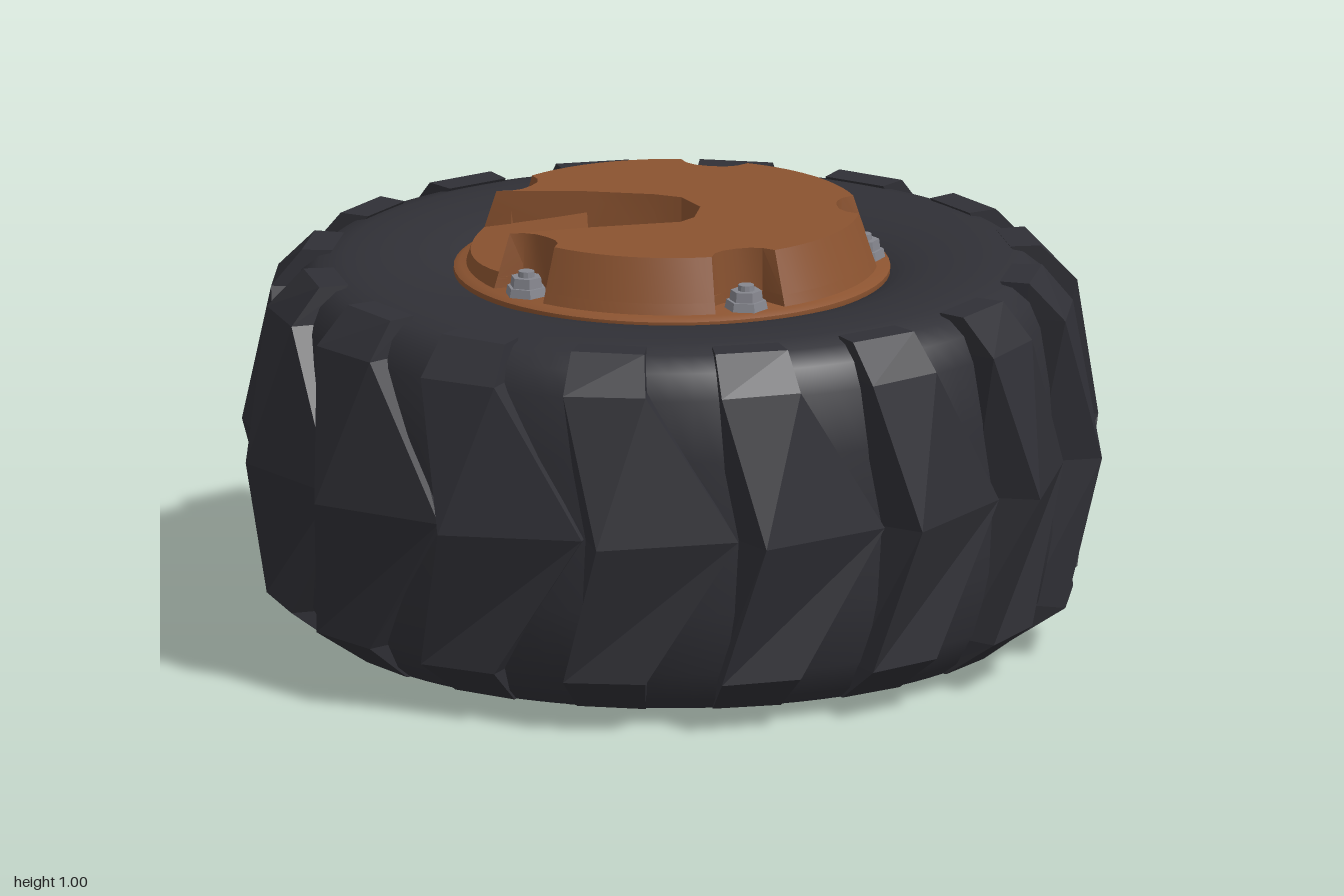
import * as THREE from 'three';
import { toCreasedNormals } from 'three/addons/utils/BufferGeometryUtils.js';

const RAD = Math.PI / 180;
const mat = (color, flatShading = false) =>
  new THREE.MeshStandardMaterial({ color, flatShading, side: THREE.DoubleSide });
const rubber = mat(0x303036);
const rubberFlat = mat(0x303036, true);
const paint = mat(0x8b5330);
const steel = mat(0x85868e, true);
const darkRim = mat(0x222224);
const plate = mat(0x4b4852);

function add(parent, name, geometry, material) {
  const mesh = new THREE.Mesh(geometry, material);
  mesh.name = name;
  parent.add(mesh);
  return mesh;
}

const lathe = (pts, segments = 64) => toCreasedNormals(
  new THREE.LatheGeometry(pts.map(([r, y]) => new THREE.Vector2(r, y)), segments), 0.6);

// Tread lug: one sawtooth chevron lofted through rings
// [y, start angle, end angle, start radius, end radius, inner radius]
function lugGeometry() {
  const rings = [
    [0.03, -11.5, 0, 0.80, 0.80, 0.74],
    [0.12, -11.2, 0.5, 0.935, 0.92, 0.84],
    [0.455, -5.7, 13.8, 1.0, 0.92, 0.86],
    [0.80, -11.2, 0.5, 0.935, 0.92, 0.84],
    [0.885, -11.5, 0, 0.85, 0.85, 0.78],
  ].map(([y, a0, a1, r0, r1, ri], i) => {
    const at = (r, a) => [r * Math.sin(a * RAD), y, r * Math.cos(a * RAD)];
    const lean = i === 2 ? 4 : 0;
    return [at(ri, a0 - lean), at(r0, a0), at(r1, a1), at(ri, a1)];
  });
  const pos = [];
  const quad = (a, b, c, d) => pos.push(...a, ...b, ...c, ...a, ...c, ...d);
  for (let i = 0; i < rings.length - 1; i++) {
    for (let j = 0; j < 4; j++) {
      const k = (j + 1) % 4;
      quad(rings[i][j], rings[i][k], rings[i + 1][k], rings[i + 1][j]);
    }
  }
  const [b, t] = [rings[0], rings[4]];
  quad(b[0], b[3], b[2], b[1]);
  quad(t[0], t[1], t[2], t[3]);
  const g = new THREE.BufferGeometry();
  g.setAttribute('position', new THREE.Float32BufferAttribute(pos, 3));
  g.computeVertexNormals();
  return g;
}

// Hub plan helpers: points are [x, z], angles run from +x towards +z
const TOP_R = 0.43;
const coneR = (y) => TOP_R + (1 - y) * 0.33;
const polar = (r, a) => [r * Math.cos(a * RAD), r * Math.sin(a * RAD)];
const arc = (a0, a1, n) =>
  Array.from({ length: n + 1 }, (_, i) => polar(TOP_R, a0 + ((a1 - a0) * i) / n));

// Extrudes a plan between two heights and flares its rim into the cone
function hubLayer(points, y0, y1, topRule) {
  const shape = new THREE.Shape(points.map(([x, z]) => new THREE.Vector2(x, -z)));
  const g = new THREE.ExtrudeGeometry(shape, { depth: y1 - y0, bevelEnabled: false });
  g.rotateX(-Math.PI / 2).translate(0, y0, 0);
  const p = g.attributes.position;
  for (let i = 0; i < p.count; i++) {
    const x = p.getX(i), z = p.getZ(i);
    let y = p.getY(i);
    if (topRule && y > y0 + 0.001) y = topRule(x, z);
    const s = Math.hypot(x, z) > 0.42 ? coneR(y) / TOP_R : 1;
    p.setXYZ(i, x * s, y, z * s);
  }
  return toCreasedNormals(g, 0.6);
}

// Hub outline with five bolt notches, optionally cut by the keyhole pocket
function hubOutline(pocket) {
  const pts = [];
  for (let k = 0; k < 5; k++) {
    const a = 90 + 72 * k;
    pts.push(polar(TOP_R, a - 10.5), polar(0.40, a - 8.5), polar(0.383, a - 5),
      polar(0.378, a), polar(0.383, a + 5), polar(0.40, a + 8.5));
    if (k === 0 && pocket) pts.push(polar(TOP_R, a + 10.5), ...pocket, polar(TOP_R, a + 61.5));
    else pts.push(...arc(a + 10.5, a + 61.5, 10).slice(0, -1));
  }
  return pts;
}

export function createModel() {
  const model = new THREE.Group();
  model.name = 'wheel';

  // Tyre carcass
  const tyre = new THREE.Group();
  tyre.name = 'tyre';
  model.add(tyre);
  add(tyre, 'tyreBody', lathe([
    [0.66, 0.03], [0.79, 0.03], [0.83, 0.06], [0.87, 0.13], [0.895, 0.28], [0.90, 0.455],
    [0.895, 0.64], [0.875, 0.78], [0.85, 0.84], [0.81, 0.872], [0.75, 0.886], [0.68, 0.888],
    [0.60, 0.882], [0.54, 0.87], [0.49, 0.85], [0.45, 0.82],
  ], 96), rubber);

  // Tread lugs
  const lug = lugGeometry();
  for (let i = 0; i < 16; i++) {
    add(tyre, 'treadLug', lug, rubberFlat).rotation.y = i * Math.PI / 8;
  }

  // Open underside: clamp ring, bowl and inner plate
  const rim = new THREE.Group();
  rim.name = 'rim';
  model.add(rim);
  add(rim, 'clampRing', lathe([[0.63, 0.05], [0.63, 0.02], [0.70, 0.02], [0.70, 0.04]]), darkRim);
  add(rim, 'rimBowl', lathe([[0.63, 0.03], [0.425, 0.27]]), darkRim);
  const innerPlate = add(rim, 'innerPlate', new THREE.CircleGeometry(0.425, 48), plate);
  innerPlate.rotation.x = Math.PI / 2;
  innerPlate.position.y = 0.27;
  const ringBolt = new THREE.CylinderGeometry(0.02, 0.02, 0.03, 6);
  for (let i = 0; i < 12; i++) {
    const [x, z] = polar(0.67, i * 30);
    add(rim, 'ringBolt', ringBolt, darkRim).position.set(x, 0.015, z);
  }

  // Hub: flange, notched cone and keyhole pocket with a ramp
  const hub = new THREE.Group();
  hub.name = 'hub';
  model.add(hub);
  add(hub, 'hubFlange', lathe([[0.49, 0.83], [0.5, 0.85], [0.5, 0.866], [0.485, 0.875], [0, 0.875]]), paint);
  const pocket = [[0.0, 0.25], [0.10, 0.06], [0.09, 0.01], [0.03, -0.06],
    [-0.06, -0.08], [-0.12, -0.05], [-0.24, 0.05]];
  add(hub, 'hubBase', hubLayer(hubOutline(), 0.87, 0.9), paint);
  add(hub, 'hubCap', hubLayer(hubOutline(pocket), 0.9, 1.0), paint);
  const ramp = [[-0.24, 0.05], [0.0, 0.25], ...arc(100.5, 151.5, 10)];
  const rampTop = (x, z) => 0.95 - 0.19 * Math.max(0, -0.61 * x + 0.793 * z - 0.19);
  add(hub, 'pocketRamp', hubLayer(ramp, 0.895, 0.95, rampTop), paint);

  // Hub bolts: washer, nut and stud in each notch
  const boltParts = [
    ['washer', 0.05, 0.02, 0.885, 6],
    ['nut', 0.039, 0.026, 0.905, 6],
    ['stud', 0.02, 0.02, 0.921, 12],
  ];
  for (let k = 0; k < 5; k++) {
    const bolt = new THREE.Group();
    bolt.name = 'hubBolt';
    const [x, z] = polar(0.44, 90 + 72 * k);
    bolt.position.set(x, 0, z);
    bolt.rotation.y = -72 * k * RAD;
    for (const [name, r, h, y, sides] of boltParts) {
      add(bolt, name, new THREE.CylinderGeometry(r * 0.92, r, h, sides), steel).position.y = y;
    }
    hub.add(bolt);
  }
  return model;
}
